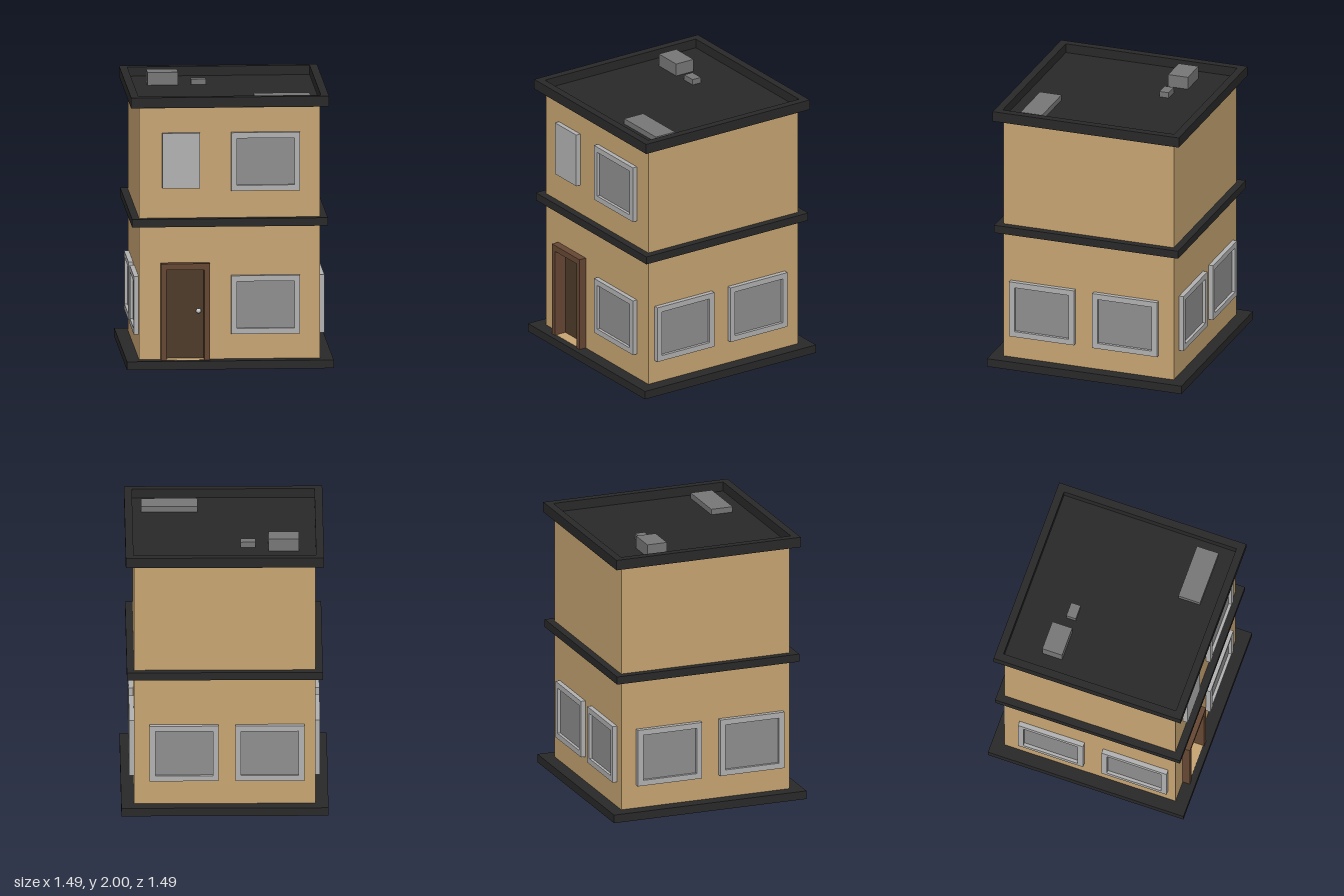
import * as THREE from 'three';

const mat = (color, extra = {}) => new THREE.MeshStandardMaterial({ color, ...extra });
const WALL = mat(0xc8a572, { side: THREE.DoubleSide });
const DARK = mat(0x292929);
const FRAME = mat(0xb2b2b2);
const GLASS = mat(0x8f8f8f);
const ROOF_UNIT = mat(0x777777);
const DOOR = mat(0x4d3b2a);
const DOOR_FRAME = mat(0x664733);
const METAL = mat(0xcccccc);

const HALF = 0.65;       // half width of the walls
const THICK = 0.02;      // wall thickness
const WALL_TOP = 1.905;

function add(parent, name, geometry, material) {
  const mesh = new THREE.Mesh(geometry, material);
  mesh.name = name;
  parent.add(mesh);
  return mesh;
}

// Box given by its minimum and maximum on each axis
function box(parent, name, material, [x0, x1], [y0, y1], [z0, z1]) {
  const mesh = add(parent, name, new THREE.BoxGeometry(x1 - x0, y1 - y0, z1 - z0), material);
  mesh.position.set((x0 + x1) / 2, (y0 + y1) / 2, (z0 + z1) / 2);
  return mesh;
}

function rect(path, x0, x1, y0, y1) {
  path.moveTo(x0, y0);
  path.lineTo(x1, y0);
  path.lineTo(x1, y1);
  path.lineTo(x0, y1);
  path.closePath();
  return path;
}

// Rectangular plate in xy with an optional rectangular hole, extruded along +z
function plate(outer, hole, depth) {
  const shape = rect(new THREE.Shape(), ...outer);
  if (hole) shape.holes.push(rect(new THREE.Path(), ...hole));
  return new THREE.ExtrudeGeometry(shape, { depth, bevelEnabled: false });
}

// Square horizontal ring running around the building
function band(parent, name, outer, inner, y0, y1) {
  const geometry = plate([-outer, outer, -outer, outer], [-inner, inner, -inner, inner], y1 - y0);
  geometry.rotateX(-Math.PI / 2);
  add(parent, name, geometry, DARK).position.y = y0;
}

// Framed window on a wall that faces +z; x0 and y0 are its lower corner
function framedWindow(parent, x0, y0) {
  const w = 0.495, h = 0.423, b = 0.041;
  const win = new THREE.Group();
  win.name = 'window';
  const frame = plate([x0, x0 + w, y0, y0 + h], [x0 + b, x0 + w - b, y0 + b, y0 + h - b], 0.065);
  add(win, 'windowFrame', frame, FRAME).position.z = 0.62;
  box(win, 'windowPane', GLASS, [x0 + b, x0 + w - b], [y0 + b, y0 + h - b], [0.64, 0.663]);
  parent.add(win);
}

// One side of the building, modelled facing +z and then turned
function facade(parent, name, angle, windows, doorHole) {
  const side = new THREE.Group();
  side.name = name;
  const wall = plate([-HALF, HALF, 0.01, WALL_TOP], doorHole, THICK);
  add(side, 'wall', wall, WALL).position.z = HALF - THICK;
  for (const [x, y] of windows) framedWindow(side, x, y);
  side.rotation.y = angle;
  parent.add(side);
  return side;
}

export function createModel() {
  const house = new THREE.Group();
  house.name = 'house';

  // Walls with their windows
  const front = facade(house, 'frontSide', 0, [[0.01, 0.248], [0.01, 1.288]], [-0.47, -0.17, 0.064, 0.745]);
  facade(house, 'backSide', Math.PI, [[-0.54, 0.248], [0.075, 0.248]]);
  facade(house, 'leftSide', Math.PI / 2, [[-0.595, 0.236], [0.04, 0.236]]);
  facade(house, 'rightSide', -Math.PI / 2, [[-0.535, 0.236], [0.1, 0.236]]);

  // Plain upper window panel
  box(front, 'upperPanel', FRAME, [-0.485, -0.215], [1.31, 1.71], [0.635, 0.685]);

  // Recessed front door
  const door = new THREE.Group();
  door.name = 'frontDoor';
  const depth = [0.585, 0.705];
  box(door, 'doorJamb', DOOR_FRAME, [-0.495, -0.455], [0, 0.72], depth);
  box(door, 'doorJamb', DOOR_FRAME, [-0.185, -0.145], [0, 0.72], depth);
  box(door, 'doorLintel', DOOR_FRAME, [-0.495, -0.145], [0.72, 0.765], depth);
  box(door, 'doorPanel', DOOR, [-0.455, -0.185], [0.04, 0.72], [0.588, 0.615]);
  box(door, 'threshold', WALL, [-0.455, -0.185], [0.045, 0.065], [0.615, 0.695]);
  add(door, 'doorKnob', new THREE.SphereGeometry(0.018, 16, 12), METAL).position.set(-0.222, 0.41, 0.63);
  house.add(door);

  // Base, storey band and roof edge
  band(house, 'base', 0.743, 0.635, 0.002, 0.063);
  band(house, 'storeyBand', 0.703, 0.64, 1.032, 1.09);
  band(house, 'roofEdge', 0.711, 0.655, 1.9, 1.975);
  box(house, 'roofFloor', DARK, [-0.66, 0.66], [1.89, 1.907], [-0.66, 0.66]);

  // Units on the roof
  box(house, 'largeRoofUnit', ROOF_UNIT, [-0.535, -0.315], [1.9, 2], [-0.403, -0.252]);
  box(house, 'smallRoofUnit', ROOF_UNIT, [-0.222, -0.115], [1.9, 1.948], [-0.33, -0.258]);
  box(house, 'flatRoofUnit', ROOF_UNIT, [0.187, 0.59], [1.9, 1.948], [0.378, 0.543]);

  return house;
}
